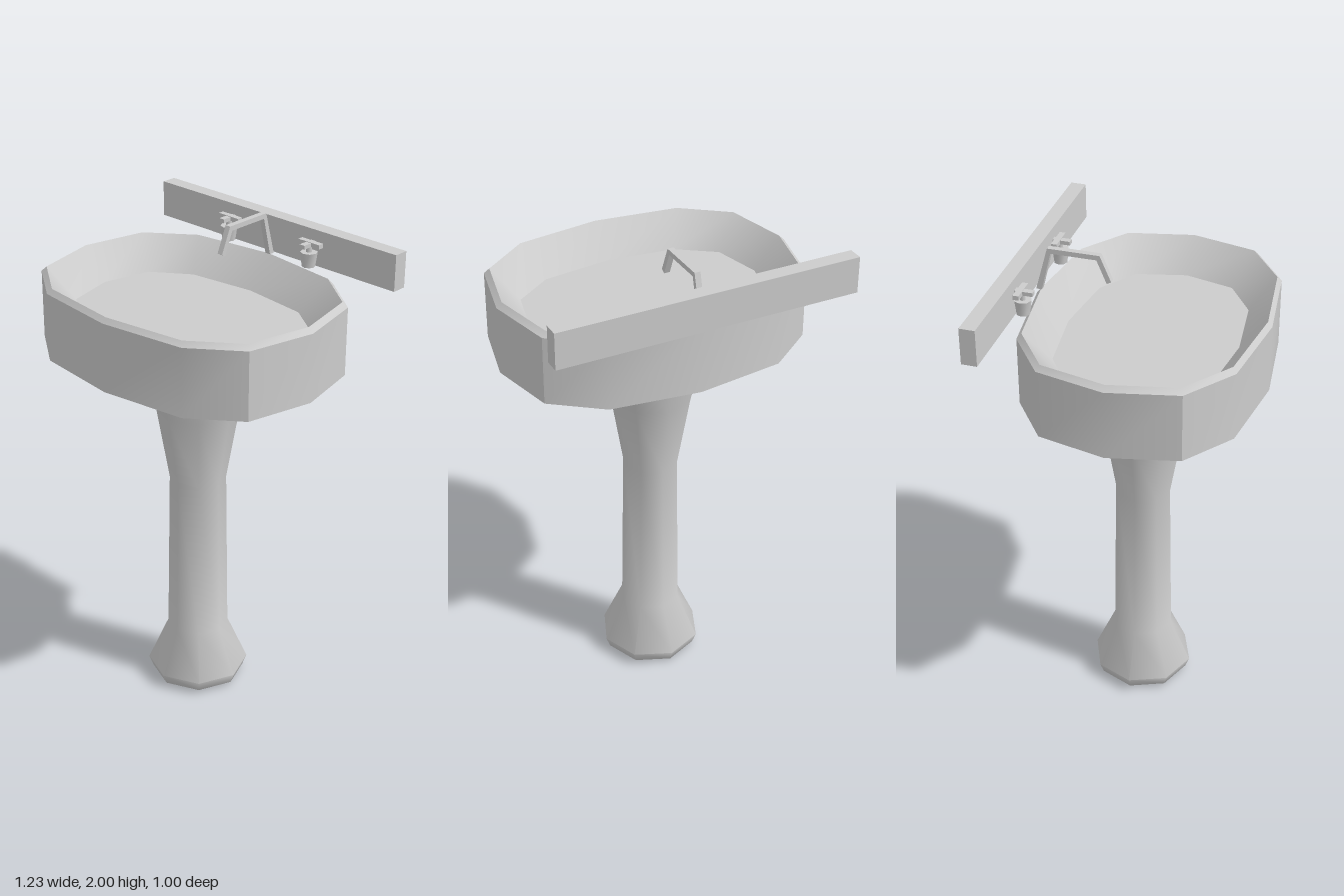
import * as THREE from 'three';
import { toCreasedNormals } from 'three/addons/utils/BufferGeometryUtils.js';

const porcelain = new THREE.MeshStandardMaterial({ color: 0xcccccc });
porcelain.name = 'porcelain grey';

function part(name, geometry, x = 0, y = 0, z = 0) {
  const mesh = new THREE.Mesh(geometry, porcelain);
  mesh.name = name;
  mesh.position.set(x, y, z);
  return mesh;
}

// Twelve-sided bowl lofted through scaled copies of one outline
function basinGeometry() {
  const quarter = [[0, 0.467], [0.36, 0.42], [0.555, 0.275], [0.617, 0]];
  const half = [...quarter, ...quarter.slice(0, 3).reverse().map(([x, z]) => [x, -z])];
  const outline = [...half, ...half.slice(1, 6).reverse().map(([x, z]) => [-x, z])];
  // y, x scale, z scale: underside, wall, bevelled rim, bowl floor
  const rings = [
    [1.52, 0, 0], [1.52, 1, 1], [1.8, 1, 1],
    [1.82, 0.965, 0.963], [1.69, 0.79, 0.735], [1.69, 0, 0],
  ];
  const n = outline.length;
  const positions = [];
  const index = [];
  for (const [y, sx, sz] of rings) {
    for (const [x, z] of outline) positions.push(x * sx, y, z * sz);
  }
  for (let r = 0; r < rings.length - 1; r++) {
    for (let i = 0; i < n; i++) {
      const a = r * n + i;
      const b = r * n + (i + 1) % n;
      if (r > 0) index.push(a, b, b + n);
      if (r < rings.length - 2) index.push(a, b + n, a + n);
      else index.splice(-3, 3, a, b, a + n);
    }
  }
  const geometry = new THREE.BufferGeometry();
  geometry.setAttribute('position', new THREE.Float32BufferAttribute(positions, 3));
  geometry.setIndex(index);
  return toCreasedNormals(geometry, 0.65);
}

// Octagonal pedestal with a flared top and foot
function pedestalGeometry() {
  const profile = [
    [0, 0.005], [0.165, 0.005], [0.195, 0.02], [0.212, 0.065], [0.127, 0.26],
    [0.116, 0.96], [0.17, 1.28], [0.226, 1.52],
  ].map(([r, y]) => new THREE.Vector2(r, y));
  return toCreasedNormals(new THREE.LatheGeometry(profile, 8), 0.9);
}

// Bent square-section spout, drawn from the side and extruded across x
function spoutGeometry() {
  const side = [
    [-0.435, 1.82], [-0.385, 2], [-0.175, 2], [-0.13, 1.895],
    [-0.148, 1.885], [-0.188, 1.98], [-0.372, 1.98], [-0.412, 1.82],
  ].map(([z, y]) => new THREE.Vector2(-z, y));
  const width = 0.024;
  const geometry = new THREE.ExtrudeGeometry(new THREE.Shape(side), { depth: width, bevelEnabled: false });
  return geometry.translate(0, 0, -width / 2).rotateY(Math.PI / 2);
}

// Cross-handled tap
function tap(name, x) {
  const group = new THREE.Group();
  group.name = name;
  group.position.set(x, 0, -0.413);
  const post = toCreasedNormals(new THREE.CylinderGeometry(0.035, 0.027, 0.06, 8), 0.9);
  group.add(
    part('tapPost', post, 0, 1.855, 0),
    part('tapNeck', new THREE.CylinderGeometry(0.012, 0.012, 0.03, 8), 0, 1.897, 0),
    part('handleCrossbar', new THREE.BoxGeometry(0.106, 0.018, 0.024), 0, 1.917, -0.008),
    part('handleLever', new THREE.BoxGeometry(0.025, 0.016, 0.072), 0, 1.916, 0.008),
  );
  return group;
}

export function createModel() {
  const model = new THREE.Group();
  model.name = 'pedestalSink';
  model.add(
    part('basin', basinGeometry(), 0, 0, 0.032),
    part('pedestal', pedestalGeometry(), 0, 0, -0.008),
    part('backsplash', new THREE.BoxGeometry(1.234, 0.148, 0.062), 0, 1.896, -0.472),
    part('spout', spoutGeometry()),
    tap('leftTap', 0.214),
    tap('rightTap', -0.214),
  );
  return model;
}
